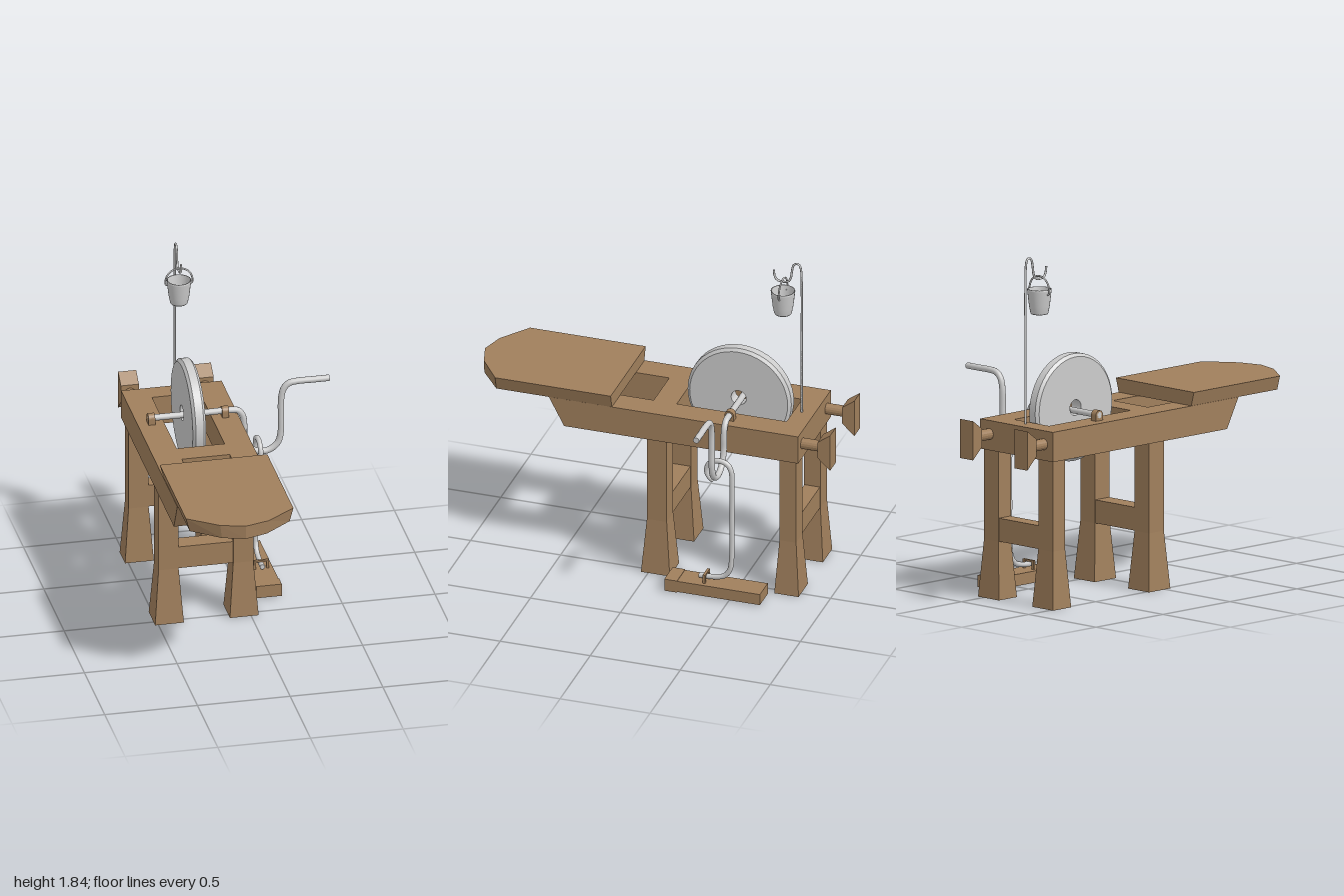
import * as THREE from 'three';

const wood = new THREE.MeshStandardMaterial({ color: 0xa07f5c, flatShading: true });
const grey = new THREE.MeshStandardMaterial({ color: 0xcccccc });
const greyOpen = new THREE.MeshStandardMaterial({ color: 0xcccccc, side: THREE.DoubleSide });
const CX = -0.237; // centre line of the bench
const AXLE = { y: 0.985, z: -0.428 };

export function createModel() {
  const model = new THREE.Group();

  const add = (name, geometry, material, x = 0, y = 0, z = 0) => {
    const mesh = new THREE.Mesh(geometry, material);
    mesh.name = name;
    mesh.position.set(x, y, z);
    model.add(mesh);
    return mesh;
  };
  // Box given by its limits on each axis
  const box = (name, [x0, x1], [y0, y1], [z0, z1]) =>
    add(name, new THREE.BoxGeometry(x1 - x0, y1 - y0, z1 - z0), wood, (x0 + x1) / 2, (y0 + y1) / 2, (z0 + z1) / 2);
  // Side profile of [z, y] points, given a width along x
  const sideProfile = (name, points, x, width) => {
    const shape = new THREE.Shape(points.map(([z, y]) => new THREE.Vector2(z, y)));
    const g = new THREE.ExtrudeGeometry(shape, { depth: width, bevelEnabled: false });
    g.rotateY(-Math.PI / 2);
    return add(name, g, wood, x + width / 2);
  };
  // Round bar with closed ends through points
  const bar = (name, points, radius, segments, sides = 12) => {
    const pts = points.map((p) => new THREE.Vector3(...p));
    const curve = new THREE.CatmullRomCurve3(pts, false, 'centripetal');
    add(name, new THREE.TubeGeometry(curve, segments, radius, sides), grey);
    for (const t of [0, 1]) {
      const cap = add(name + 'End', new THREE.CircleGeometry(radius, sides), grey);
      cap.position.copy(curve.getPoint(t));
      const dir = curve.getTangent(t).multiplyScalar(t ? 1 : -1);
      cap.quaternion.setFromUnitVectors(new THREE.Vector3(0, 0, 1), dir);
    }
  };

  // Bench frame: two rails with slanted front ends, two cross bars
  for (const x of [-0.44, -0.04]) {
    sideProfile('rail', [[-0.83, 0.795], [0.47, 0.795], [0.555, 0.955], [-0.83, 0.955]], x, 0.142);
  }
  box('frontCrossBar', [-0.37, -0.11], [0.795, 0.955], [-0.108, 0.02]);
  box('rearCrossBar', [-0.37, -0.11], [0.795, 0.955], [-0.83, -0.718]);

  // Legs with flared feet, and their stretchers
  const legPair = (z, depth, footDepth) => {
    for (const x of [-0.44, -0.037]) {
      const g = new THREE.BoxGeometry(0.108, 0.795, depth, 1, 2, 1);
      const p = g.attributes.position;
      for (let i = 0; i < p.count; i++) {
        const y = p.getY(i);
        if (y < -0.2) {
          p.setX(i, p.getX(i) * (0.155 / 0.108));
          p.setZ(i, p.getZ(i) * (footDepth / depth));
        }
        p.setY(i, y < -0.2 ? 0 : y > 0.2 ? 0.795 : 0.31);
      }
      g.computeVertexNormals();
      add('leg', g, wood, x, 0, z);
    }
    box('stretcher', [-0.386, -0.091], [0.31, 0.435], [z - depth / 2 + 0.003, z + depth / 2 - 0.003]);
  };
  legPair(-0.04, 0.11, 0.16);
  legPair(-0.768, 0.092, 0.135);

  // Seat board with a pointed front and sides leaning inwards below
  const half = 0.29;
  const outline = [[-half, 0.205], [half, 0.205], [half, 0.847], [0.13, 0.963], [0, 1], [-0.13, 0.963], [-half, 0.847]];
  const seatShape = new THREE.Shape(outline.map(([x, z]) => new THREE.Vector2(x, z)));
  const seat = new THREE.ExtrudeGeometry(seatShape, { depth: 0.075, bevelEnabled: false });
  seat.rotateX(Math.PI / 2);
  const sp = seat.attributes.position;
  for (let i = 0; i < sp.count; i++) if (sp.getY(i) < -0.03) sp.setX(i, sp.getX(i) * 0.93);
  seat.computeVertexNormals();
  add('seat', seat, wood, CX - 0.002, 1.03, 0);

  // Rear handles: round peg and flared block
  for (const x of [-0.441, -0.038]) {
    const peg = new THREE.CylinderGeometry(0.03, 0.03, 0.12, 16);
    peg.rotateX(Math.PI / 2);
    add('handlePeg', peg, wood, x, 0.882, -0.88);
    sideProfile('handleBlock', [[-1, 0.77], [-0.932, 0.835], [-0.932, 0.93], [-1, 0.98]], x, 0.097);
  }

  // Grindstone: bevelled ring around an open hole
  const ring = [[0.042, -0.036], [0.272, -0.036], [0.288, -0.022], [0.288, 0.022], [0.272, 0.036], [0.042, 0.036], [0.042, -0.036]];
  for (let i = 0; i < ring.length - 1; i++) {
    const band = new THREE.LatheGeometry([ring[i], ring[i + 1]].map(([r, y]) => new THREE.Vector2(r, y)), 48);
    band.rotateZ(Math.PI / 2);
    add('grindstone', band, grey, CX, 1.0, -0.422);
  }

  // Axle running into the crank and its handle
  const onAxle = (pts) => pts.map(([x, y]) => [x, y, AXLE.z]);
  bar('axleAndCrank', onAxle([
    [-0.456, AXLE.y], [-0.2, AXLE.y], [0, AXLE.y], [0.03, 0.98], [0.055, 0.95], [0.064, 0.9], [0.066, 0.83],
    [0.085, 0.77], [0.12, 0.735], [0.165, 0.724], [0.21, 0.735], [0.247, 0.77], [0.262, 0.83], [0.263, 0.92],
    [0.265, 1.03], [0.278, 1.082], [0.305, 1.11], [0.35, 1.118], [0.43, 1.118], [0.523, 1.118],
  ]), 0.017, 130);
  for (const x of [-0.438, -0.04]) {
    const arch = new THREE.Shape();
    arch.moveTo(0.026, 0.95).lineTo(0.026, AXLE.y).absarc(0, AXLE.y, 0.026, 0, Math.PI, false).lineTo(-0.026, 0.95);
    const g = new THREE.ExtrudeGeometry(arch, { depth: 0.036, bevelEnabled: false, curveSegments: 8 });
    g.rotateY(-Math.PI / 2);
    add('bearing', g, wood, x + 0.018, 0, AXLE.z);
  }

  // Treadle rod hooked over the crank
  const rodX = 0.14;
  bar('treadleRod', [
    [-0.395, 0.675], [-0.368, 0.7], [-0.358, 0.735], [-0.372, 0.773], [-0.402, 0.794], [-0.44, 0.797],
    [-0.475, 0.782], [-0.495, 0.745], [-0.499, 0.69], [-0.499, 0.45], [-0.497, 0.22], [-0.487, 0.155],
    [-0.458, 0.115], [-0.41, 0.1], [-0.36, 0.096], [-0.318, 0.096],
  ].map(([z, y]) => [rodX, y, z]), 0.014, 110);

  // Treadle board with an end batten and a staple over the rod
  box('treadle', [0.071, 0.203], [0.008, 0.071], [-0.675, -0.2]);
  box('treadleBatten', [0.068, 0.206], [0.005, 0.074], [-0.215, -0.145]);
  box('stapleTop', [0.1, 0.18], [0.11, 0.12], [-0.363, -0.349]);
  for (const x of [0.1, 0.168]) box('stapleSide', [x, x + 0.012], [0.06, 0.112], [-0.363, -0.349]);

  // Water hanger: thin post bent over into a hook
  bar('hanger', [
    [-0.76, 0.94], [-0.76, 1.3], [-0.76, 1.72], [-0.757, 1.8], [-0.748, 1.832], [-0.732, 1.839],
    [-0.716, 1.828], [-0.706, 1.79], [-0.7, 1.75], [-0.686, 1.725], [-0.655, 1.718], [-0.622, 1.725],
    [-0.61, 1.745], [-0.605, 1.78],
  ].map(([z, y]) => [CX, y, z]), 0.006, 90, 8);

  // Bucket with open top and a bail handle
  const bz = -0.656;
  const bucket = [[0, 1.53], [0.044, 1.53], [0.047, 1.535], [0.055, 1.575], [0.064, 1.655], [0.065, 1.665], [0.059, 1.665], [0.05, 1.575], [0.042, 1.542], [0, 1.542]];
  add('bucket', new THREE.LatheGeometry(bucket.map(([r, y]) => new THREE.Vector2(r, y)), 24), greyOpen, CX, 0, bz);
  const bail = [];
  for (let i = 0; i <= 14; i++) {
    const a = -0.2 + (i / 14) * (Math.PI + 0.4);
    bail.push([CX + 0.073 * Math.cos(a), 1.66 + 0.073 * Math.sin(a), bz]);
  }
  bail.unshift([CX + 0.055, 1.638, bz]);
  bail.push([CX - 0.055, 1.638, bz]);
  bar('bucketHandle', bail, 0.005, 50, 8);

  return model;
}
